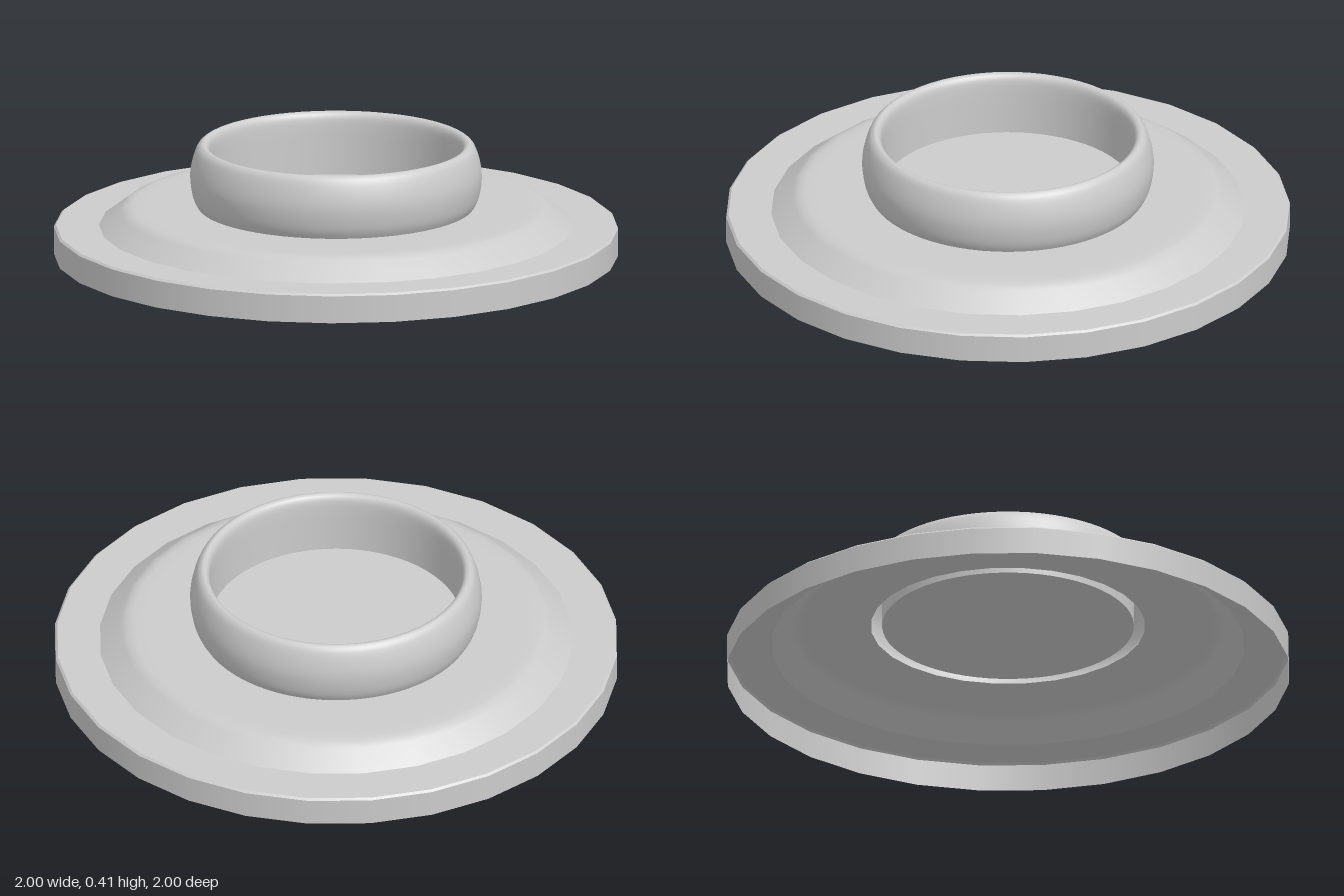
import * as THREE from 'three';

const material = new THREE.MeshStandardMaterial({ color: 0xcccccc, side: THREE.DoubleSide });

// Open revolved band: profile runs from the outside in, so normals face out and up
function band(name, profile, segments) {
  const points = profile.map(([r, y]) => new THREE.Vector2(r, y));
  const mesh = new THREE.Mesh(new THREE.LatheGeometry(points, segments), material);
  mesh.name = name;
  return mesh;
}

export function createModel() {
  const group = new THREE.Group();
  group.name = 'flangedCollar';
  const plateSides = 28, ringSides = 64;

  // Hollow base plate: separate bands keep the creases sharp
  group.add(
    band('rimWall', [[1, 0], [1, 0.098]], plateSides),
    band('rimBevel', [[1, 0.098], [0.992, 0.105]], plateSides),
    band('rimTop', [[0.992, 0.105], [0.84, 0.105]], plateSides),
    band('raisedShoulder', [[0.84, 0.105], [0.765, 0.163], [0.745, 0.175], [0.72, 0.18], [0.68, 0.18], [0.487, 0.18]], plateSides)
  );

  // Bulging collar, hollow inside and open underneath
  const collar = new THREE.SplineCurve([
    [0.49, 0.18], [0.507, 0.215], [0.517, 0.28], [0.511, 0.335], [0.495, 0.385],
    [0.479, 0.403], [0.467, 0.405], [0.454, 0.395], [0.447, 0.365], [0.446, 0.28], [0.446, 0.18],
  ].map(([r, y]) => new THREE.Vector2(r, y)));
  group.add(band('collar', collar.getPoints(30).map(p => [p.x, p.y]), ringSides));

  // Flat floor closing the collar
  group.add(band('collarFloor', [[0.446, 0.18], [0, 0.18]], ringSides));
  return group;
}
